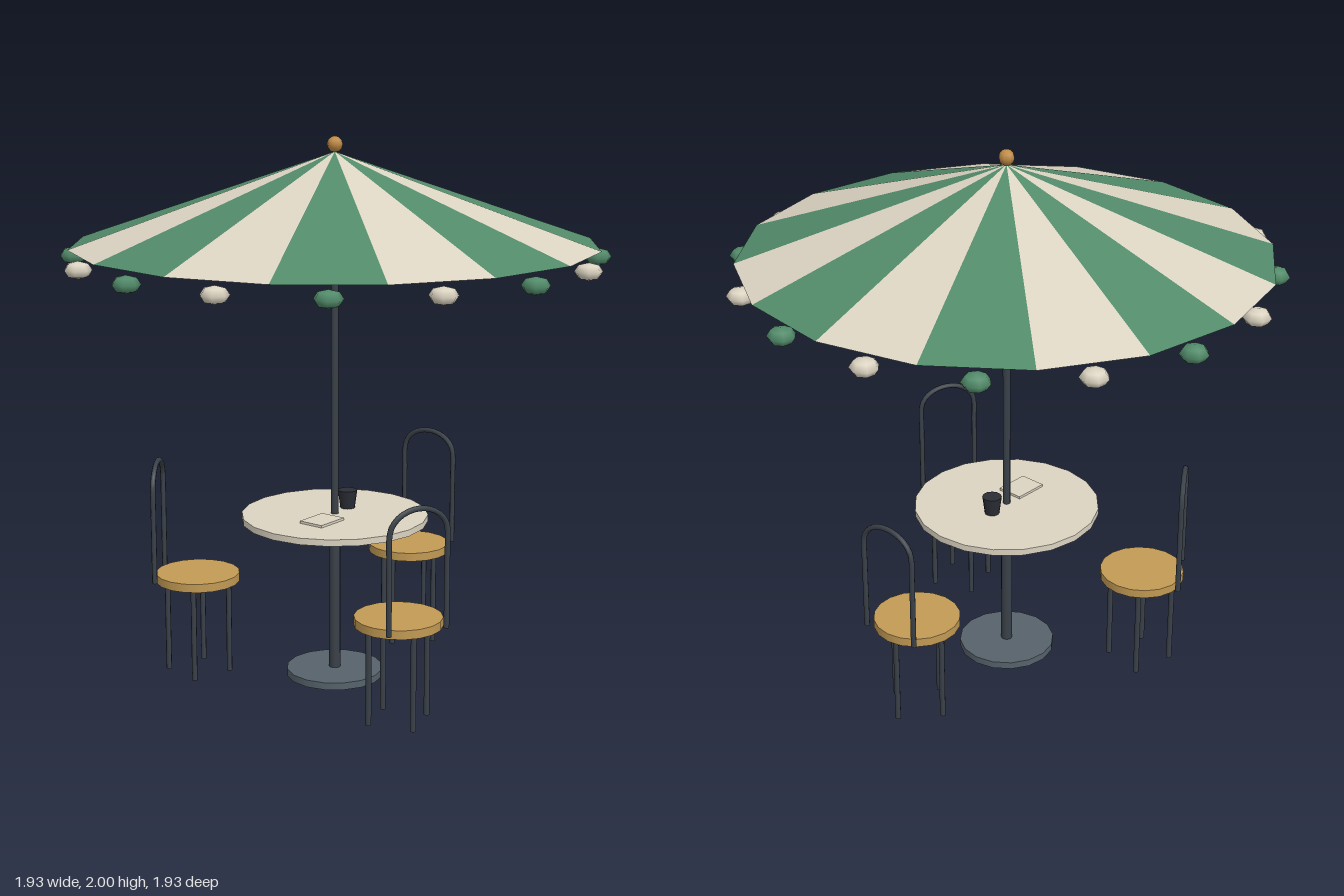
import * as THREE from 'three';

const paint = (name, color, extra = {}) =>
  new THREE.MeshStandardMaterial({ name, color, ...extra });

export function createModel() {
  const model = new THREE.Group();
  model.name = 'cafeTableSet';

  const cream = paint('cream', 0xdcd4c2, { side: THREE.DoubleSide });
  const green = paint('green', 0x528b6a, { side: THREE.DoubleSide });
  const iron = paint('darkIron', 0x3a4149);
  const slate = paint('slate', 0x56626b);
  const wood = paint('wood', 0xc29a54);
  const brass = paint('brass', 0xbf8a45);
  const charcoal = paint('charcoal', 0x2a2d35);
  const stripes = [green, cream];

  const add = (parent, name, geometry, material, x = 0, y = 0, z = 0) => {
    const mesh = new THREE.Mesh(geometry, material);
    mesh.name = name;
    mesh.position.set(x, y, z);
    parent.add(mesh);
    return mesh;
  };
  // Upright cylinder between two heights
  const post = (parent, name, r, y0, y1, sides, material, x = 0, z = 0, rTop = r) =>
    add(parent, name, new THREE.CylinderGeometry(rTop, r, y1 - y0, sides), material, x, (y0 + y1) / 2, z);

  // Stand and table
  post(model, 'base', 0.18, 0, 0.027, 16, slate);
  post(model, 'tablePost', 0.021, 0.02, 0.61, 12, iron);
  post(model, 'umbrellaPole', 0.014, 0.6, 1.94, 10, iron);
  post(model, 'tableTop', 0.343, 0.598, 0.622, 20, cream);

  // Things on the table
  post(model, 'cup', 0.027, 0.622, 0.69, 12, charcoal, 0.082, -0.04, 0.036);
  const menu = add(model, 'menu', new THREE.BoxGeometry(0.13, 0.009, 0.1), cream, -0.1, 0.6265, 0.07);
  menu.rotation.y = 0.34;

  // Striped canopy: one flat triangle per panel
  const panels = 16;
  const rimY = 1.618, tipY = 1.945;
  const cone = new THREE.ConeGeometry(0.945, tipY - rimY, panels, 1, true).toNonIndexed();
  cone.computeVertexNormals();
  cone.clearGroups();
  for (let i = 0; i < panels; i++) cone.addGroup(i * 3, 3, i % 2);
  add(model, 'canopy', cone, stripes, 0, (rimY + tipY) / 2, 0);

  // Bobbles below the rim, each matching its panel
  const bobble = new THREE.SphereGeometry(0.05, 7, 4).scale(1, 0.62, 1);
  for (let i = 0; i < panels; i++) {
    const a = ((i + 0.5) / panels) * Math.PI * 2;
    add(model, 'bobble', bobble, stripes[i % 2], Math.sin(a) * 0.935, 1.575, Math.cos(a) * 0.935);
  }
  add(model, 'finial', new THREE.SphereGeometry(0.029, 8, 6), brass, 0, 1.971, 0);

  // Hoop back: straight sides joined by a half ellipse
  const hoopPoints = [[-0.111, 0.37], [-0.111, 0.5], [-0.111, 0.64]];
  for (let i = 0; i <= 8; i++) {
    const a = Math.PI * (1 - i / 8);
    hoopPoints.push([Math.cos(a) * 0.111, 0.72 + Math.sin(a) * 0.087]);
  }
  hoopPoints.push([0.111, 0.64], [0.111, 0.5], [0.111, 0.37]);
  const hoop = new THREE.TubeGeometry(
    new THREE.CatmullRomCurve3(hoopPoints.map(([x, y]) => new THREE.Vector3(x, y, 0.143))),
    48, 0.01, 7);

  // Three chairs, each facing the table with its back outward (+z locally)
  for (let k = 0; k < 3; k++) {
    const a = THREE.MathUtils.degToRad(97 + k * 120);
    const chair = new THREE.Group();
    chair.name = 'chair';
    chair.position.set(Math.cos(a) * 0.512, 0, Math.sin(a) * 0.512);
    chair.rotation.y = Math.PI / 2 - a;
    model.add(chair);
    post(chair, 'seat', 0.156, 0.352, 0.384, 18, wood);
    for (let i = 0; i < 4; i++) {
      const t = (i * Math.PI) / 2;
      post(chair, 'leg', 0.0105, 0, 0.36, 7, iron, Math.sin(t) * 0.115, Math.cos(t) * 0.115);
    }
    add(chair, 'hoopBack', hoop, iron);
  }

  return model;
}
